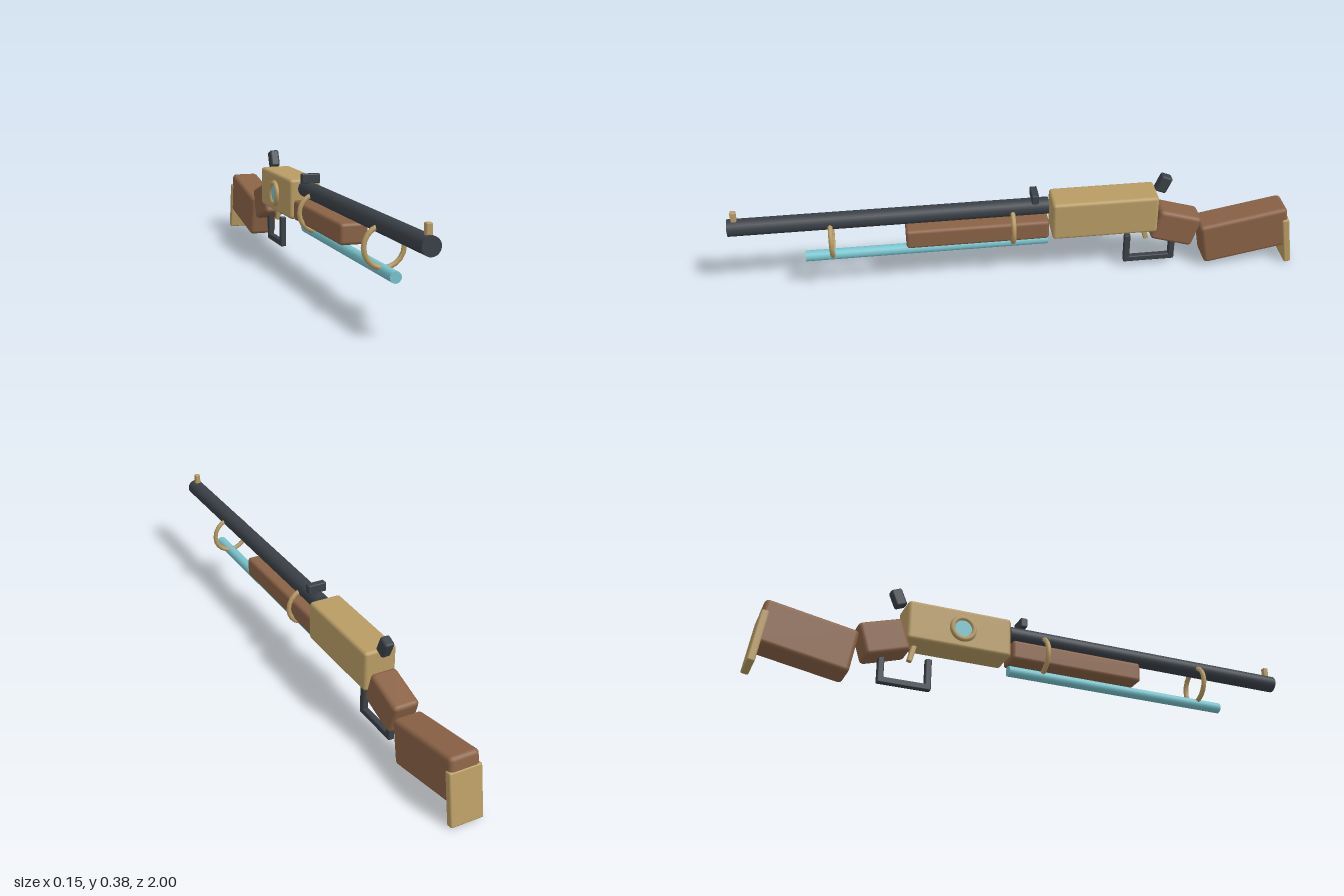
import * as THREE from 'three';
import { RoundedBoxGeometry } from 'three/addons/geometries/RoundedBoxGeometry.js';

const material = (name, color) => {
  const m = new THREE.MeshStandardMaterial({ color });
  m.name = name;
  return m;
};

export function createModel() {
  const wood = material('wood', 0x8a6246);
  const brass = material('brass', 0xb89c64);
  const steel = material('darkSteel', 0x3a4047);
  const cyan = material('paleCyan', 0x78c4ce);

  const model = new THREE.Group();
  model.name = 'toyRifle';

  const add = (name, geometry, mat, x, y, z, tilt = 0) => {
    const mesh = new THREE.Mesh(geometry, mat);
    mesh.name = name;
    mesh.position.set(x, y, z);
    mesh.rotation.x = tilt;
    model.add(mesh);
    return mesh;
  };
  // box with softened edges: width (x), height (y), depth (z)
  const block = (name, mat, [w, h, d], [y, z], tilt = 0, r = 0.012) =>
    add(name, new RoundedBoxGeometry(w, h, d, 2, r), mat, 0, y, z, tilt);
  // round bar running along z
  const rod = (name, mat, radius, y, z0, z1) =>
    add(name, new THREE.CylinderGeometry(radius, radius, z1 - z0, 24).rotateX(Math.PI / 2),
      mat, 0, y, (z0 + z1) / 2);

  // barrel, lower tube and fore-end
  rod('barrel', steel, 0.03, 0.292, -0.1, 1);
  rod('lowerTube', cyan, 0.019, 0.151, -0.1, 0.75);
  block('foreEnd', wood, [0.097, 0.073, 0.5], [0.2165, 0.15]);

  // rings that hold the barrel and the tube together
  for (const z of [0.655, 0.027]) {
    add('barrelRing', new THREE.TorusGeometry(0.066, 0.009, 6, 20), brass, 0, 0.226, z);
  }

  // sights
  block('frontSight', brass, [0.02, 0.045, 0.02], [0.333, 0.975], 0, 0.004);
  block('rearSight', steel, [0.068, 0.034, 0.025], [0.336, -0.052], 0, 0.004);

  // receiver and hammer
  block('receiver', brass, [0.117, 0.145, 0.375], [0.2525, -0.2975]);
  block('hammer', steel, [0.035, 0.064, 0.042], [0.35, -0.508], -0.4, 0.008);

  // round gauge on the right side of the receiver
  add('gaugeRing', new THREE.TorusGeometry(0.039, 0.01, 8, 24).rotateY(-Math.PI / 2),
    brass, -0.063, 0.25, -0.29);
  add('gaugeLens', new THREE.CylinderGeometry(0.038, 0.038, 0.01, 24).rotateZ(Math.PI / 2),
    cyan, -0.061, 0.25, -0.29);

  // trigger and its guard
  block('trigger', brass, [0.018, 0.065, 0.018], [0.152, -0.451], 0.25, 0.004);
  for (const z of [-0.391, -0.556]) {
    block('guardPost', steel, [0.022, 0.115, 0.022], [0.0825, z], 0, 0.004);
  }
  block('guardBar', steel, [0.022, 0.022, 0.187], [0.036, -0.4735], 0, 0.004);

  // wrist, stock and butt plate
  block('wrist', wood, [0.095, 0.12, 0.16], [0.178, -0.558], -0.3, 0.015);
  block('stock', wood, [0.107, 0.16, 0.32], [0.128, -0.815], 0.18, 0.015);
  block('buttPlate', brass, [0.117, 0.187, 0.026], [0.096, -0.971], 0.16, 0.006);

  return model;
}
